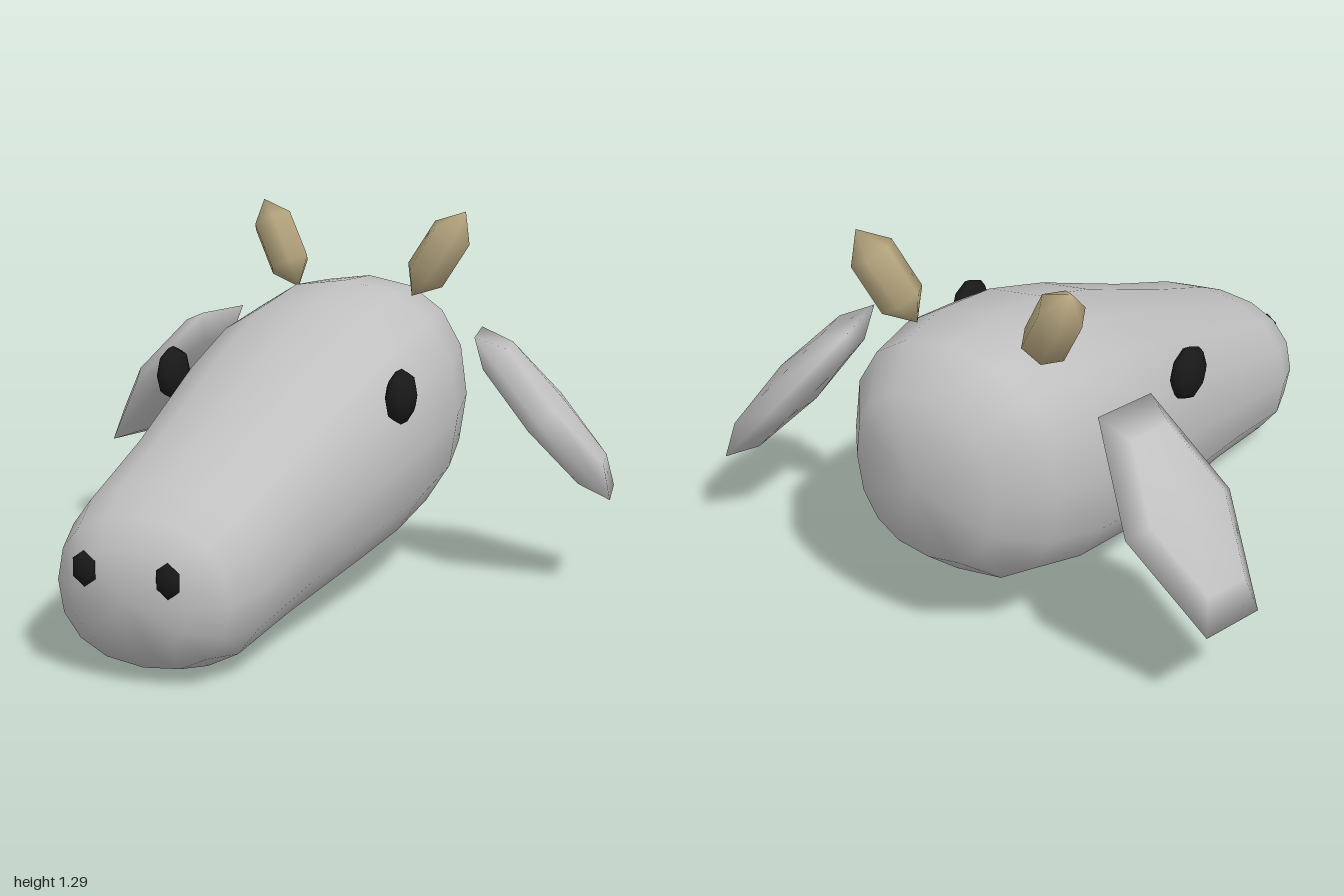
import * as THREE from 'three';

const hide = new THREE.MeshStandardMaterial({ name: 'greyHide', color: 0xc0c0c0 });
const horn = new THREE.MeshStandardMaterial({ name: 'tanHorn', color: 0xb3a37d });
const black = new THREE.MeshStandardMaterial({ name: 'black', color: 0x191919 });

const V = (x, y, z) => new THREE.Vector3(x, y, z);

// Closed loft along z: each ring is [z, top, bottom, half width]
function headGeometry() {
  const rings = [
    [0.95, 0.44, 0.11, 0.205], [0.87, 0.52, 0.037, 0.305], [0.735, 0.588, 0.005, 0.353],
    [0.41, 0.715, 0.04, 0.375], [-0.02, 0.9, 0.085, 0.432], [-0.3, 0.995, 0.115, 0.458],
    [-0.567, 1.04, 0.155, 0.445], [-0.78, 1.028, 0.22, 0.39], [-0.93, 0.92, 0.35, 0.265],
  ];
  const n = 16;
  const soft = (v) => Math.sign(v) * Math.abs(v) ** 0.87;
  const pos = [];
  const index = [];
  for (const [z, top, bottom, hw] of rings) {
    for (let i = 0; i < n; i++) {
      const a = (i / n) * Math.PI * 2;
      pos.push(soft(Math.cos(a)) * hw, (top + bottom) / 2 + soft(Math.sin(a)) * (top - bottom) / 2, z);
    }
  }
  const nose = rings.length * n;
  const back = nose + 1;
  pos.push(0, 0.28, 0.98, 0, 0.64, -0.99);
  for (let i = 0; i < n; i++) {
    const j = (i + 1) % n;
    index.push(nose, i, j);
    for (let r = 0; r < rings.length - 1; r++) {
      const a = r * n + i, b = r * n + j;
      index.push(a, a + n, b, b, a + n, b + n);
    }
    const last = (rings.length - 1) * n;
    index.push(back, last + j, last + i);
  }
  const g = new THREE.BufferGeometry();
  g.setAttribute('position', new THREE.Float32BufferAttribute(pos, 3));
  g.setIndex(index);
  g.computeVertexNormals();
  return g;
}

export function createModel() {
  const model = new THREE.Group();
  model.name = 'animalHead';

  const add = (name, geometry, material) => {
    const mesh = new THREE.Mesh(geometry, material);
    mesh.name = name;
    model.add(mesh);
    return mesh;
  };

  add('head', headGeometry(), hide);

  for (const [side, s] of [['left', 1], ['right', -1]]) {
    // Ear: flattened six-sided ellipsoid, skewed so it droops outward
    const u = V(0.055 * s, 0, 0.21);
    const v = V(-0.268 * s, 0.3175, 0.07);
    const normal = v.clone().cross(u).setLength(0.08);
    const earShape = new THREE.Matrix4().makeBasis(u, normal, v).setPosition(0.738 * s, 0.617, -0.65);
    add(side + 'Ear', new THREE.SphereGeometry(1, 6, 4).applyMatrix4(earShape), hide);

    // Horn: pointed at both ends, leaning outward and back
    const hornMesh = add(side + 'Horn', new THREE.SphereGeometry(1, 6, 3).scale(0.09, 0.178, 0.09), horn);
    hornMesh.position.set(0.312 * s, 1.14, -0.683);
    hornMesh.quaternion.setFromUnitVectors(V(0, 1, 0), V(0.0875 * s, 0.152, -0.0325).normalize());

    // Eye: shallow octagonal disc facing sideways
    const eye = new THREE.SphereGeometry(1, 8, 6).rotateZ(Math.PI / 2).scale(0.045, 0.095, 0.089);
    add(side + 'Eye', eye, black).position.set(0.434 * s, 0.75, -0.092);

    // Nostril: small six-sided stud facing forward
    const nostril = new THREE.SphereGeometry(1, 6, 4).rotateX(Math.PI / 2).rotateZ(Math.PI / 2)
      .scale(0.046, 0.058, 0.025);
    add(side + 'Nostril', nostril, black).position.set(0.147 * s, 0.362, 0.967);
  }

  return model;
}
